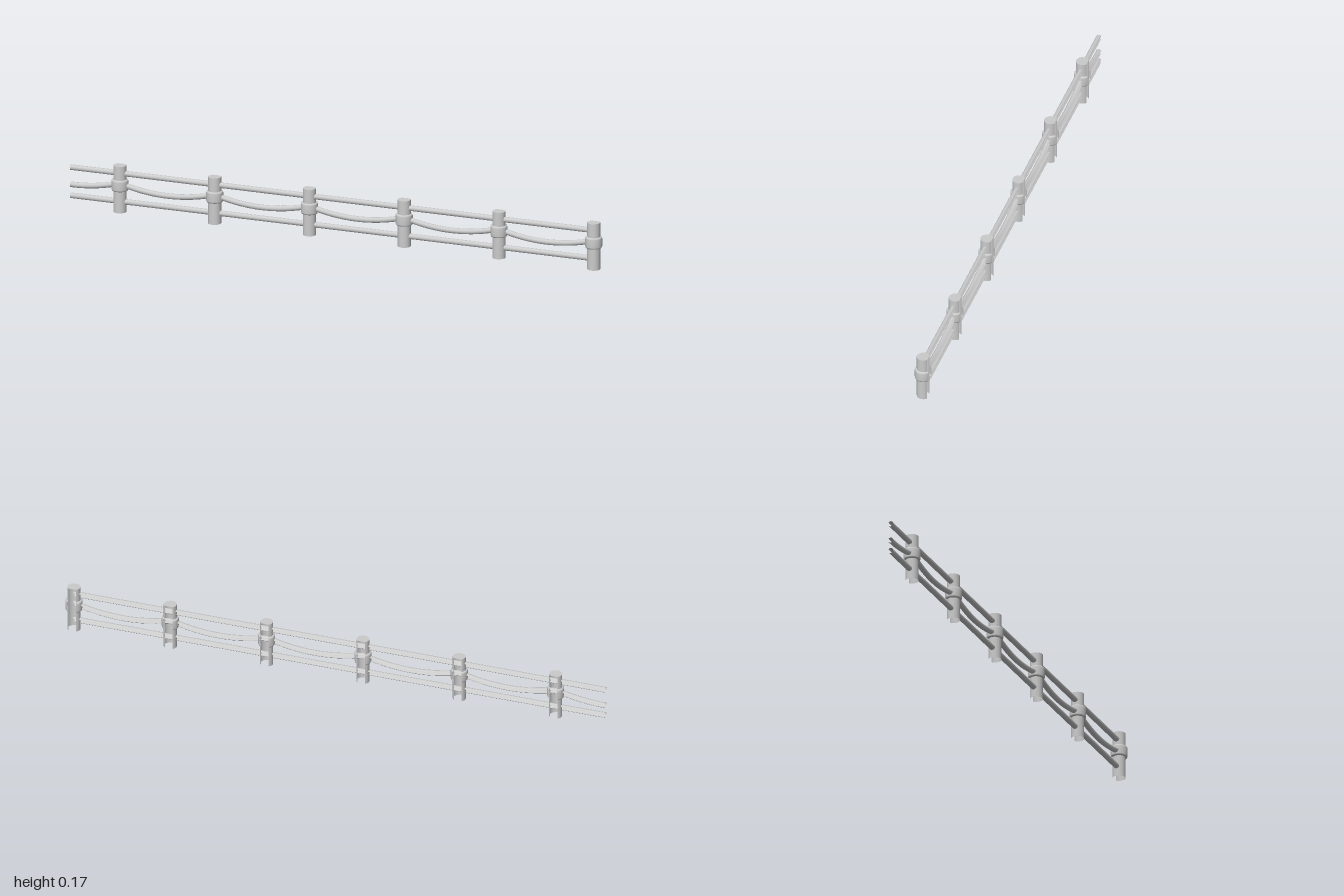
import * as THREE from 'three';

const GAP = 0.64; // half angle of the slot left open along the back of every part
const ARC = 2 * Math.PI - 2 * GAP;
const Z = -0.003;
const FIRST = -0.815, STEP = 0.3565, COUNT = 6;
const LAST = FIRST + STEP * (COUNT - 1);

const material = new THREE.MeshStandardMaterial({ color: 0xcccccc, side: THREE.DoubleSide });

function add(parent, name, geometry) {
  const mesh = new THREE.Mesh(geometry, material);
  mesh.name = name;
  parent.add(mesh);
  return mesh;
}

// Upright shell turned from a profile, open at the back
function shell(profile) {
  const points = profile.map(([r, y]) => new THREE.Vector2(r, y));
  return new THREE.LatheGeometry(points, 18, Math.PI + GAP, ARC);
}

// Flat post top that follows the same slotted outline
function capGeometry(radius, y) {
  const outline = [];
  for (let i = 0; i <= 18; i++) {
    const a = Math.PI + GAP + (ARC * i) / 18;
    outline.push(new THREE.Vector2(Math.sin(a) * radius, -Math.cos(a) * radius));
  }
  return new THREE.ShapeGeometry(new THREE.Shape(outline)).rotateX(-Math.PI / 2).translate(0, y, 0);
}

// Long half-open tube along x, from the left end to the last post
function tube(radius, segments) {
  const length = LAST + 1;
  return new THREE.CylinderGeometry(radius, radius, length, 10, segments, true, Math.PI + GAP, ARC)
    .rotateZ(-Math.PI / 2)
    .translate(-1 + length / 2, 0, 0);
}

export function createModel() {
  const group = new THREE.Group();
  group.name = 'railing';

  // Posts with collars
  for (let i = 0; i < COUNT; i++) {
    const post = new THREE.Group();
    post.name = 'post' + (i + 1);
    post.position.set(FIRST + STEP * i, 0, Z);
    add(post, 'postShaft', shell([[0.023, 0], [0.023, 0.17]]));
    add(post, 'postTop', capGeometry(0.023, 0.17));
    add(post, 'collar', shell([[0.023, 0.078], [0.028, 0.079], [0.03, 0.084], [0.03, 0.113], [0.028, 0.118], [0.023, 0.119]]));
    group.add(post);
  }

  // Straight rails
  add(group, 'upperRail', tube(0.01, 1)).position.set(0, 0.141, Z);
  add(group, 'lowerRail', tube(0.01, 1)).position.set(0, 0.038, Z);

  // Rope sagging between the collars
  const rope = tube(0.01, 90);
  const p = rope.attributes.position;
  for (let i = 0; i < p.count; i++) {
    const t = (p.getX(i) - FIRST) / STEP + 1;
    const u = 2 * (t - Math.floor(t)) - 1;
    p.setY(i, p.getY(i) + 0.078 + 0.026 * u * u);
  }
  rope.computeVertexNormals();
  add(group, 'rope', rope).position.z = Z;

  return group;
}
